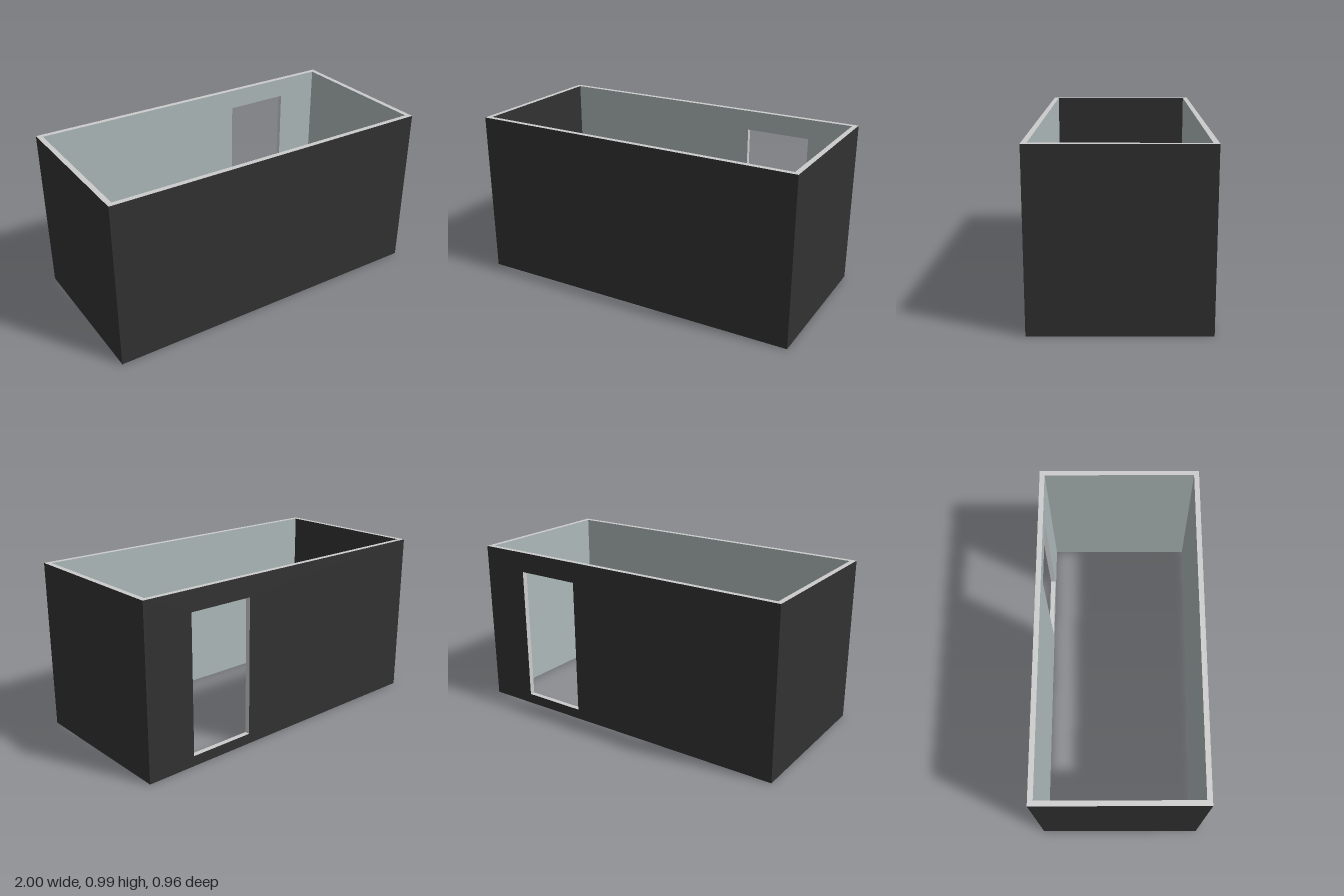
import * as THREE from 'three';

const W = 2, H = 0.985, D = 0.956, T = 0.03; // overall size and wall thickness

const paint = (color) => new THREE.MeshStandardMaterial({ color });

export function createModel() {
  const group = new THREE.Group();
  group.name = 'room';
  const dark = paint(0x323232), light = paint(0xaeb9b9), grey = paint(0xcccccc);

  // Box wall; materials in the order +x, -x, +y, -y, +z, -z
  const addWall = (name, w, d, x, z, materials) => {
    const wall = new THREE.Mesh(new THREE.BoxGeometry(w, H, d), materials);
    wall.name = name;
    wall.position.set(x, H / 2, z);
    group.add(wall);
  };

  // Side walls run the full depth, the front wall fits between them
  const sx = (W - T) / 2, inner = W - 2 * T;
  addWall('leftWall', T, D, sx, 0, [dark, light, grey, grey, dark, dark]);
  addWall('rightWall', T, D, -sx, 0, [dark, dark, grey, dark, dark, dark]);
  addWall('frontWall', inner, T, 0, (D - T) / 2, [grey, grey, grey, dark, dark, light]);

  // Back wall with a doorway above a low sill
  const rect = (Type, x0, y0, x1, y1) => new Type([[x0, y0], [x1, y0], [x1, y1], [x0, y1]]
    .map(([x, y]) => new THREE.Vector2(x, y)));
  const shape = rect(THREE.Shape, -inner / 2, 0, inner / 2, H);
  shape.holes.push(rect(THREE.Path, 0.315, 0.06, 0.71, 0.865));
  const geometry = new THREE.ExtrudeGeometry(shape, { depth: T, bevelEnabled: false });

  // Separate materials for the outer face, the inner face and the edges
  const [caps, edges] = geometry.groups.map((g) => ({ ...g }));
  geometry.clearGroups();
  geometry.addGroup(0, caps.count / 2, 0);
  geometry.addGroup(caps.count / 2, caps.count / 2, 1);
  geometry.addGroup(edges.start, edges.count, 2);
  const backWall = new THREE.Mesh(geometry, [dark, light, grey]);
  backWall.name = 'backWallWithDoorway';
  backWall.position.z = -D / 2;
  group.add(backWall);

  return group;
}
